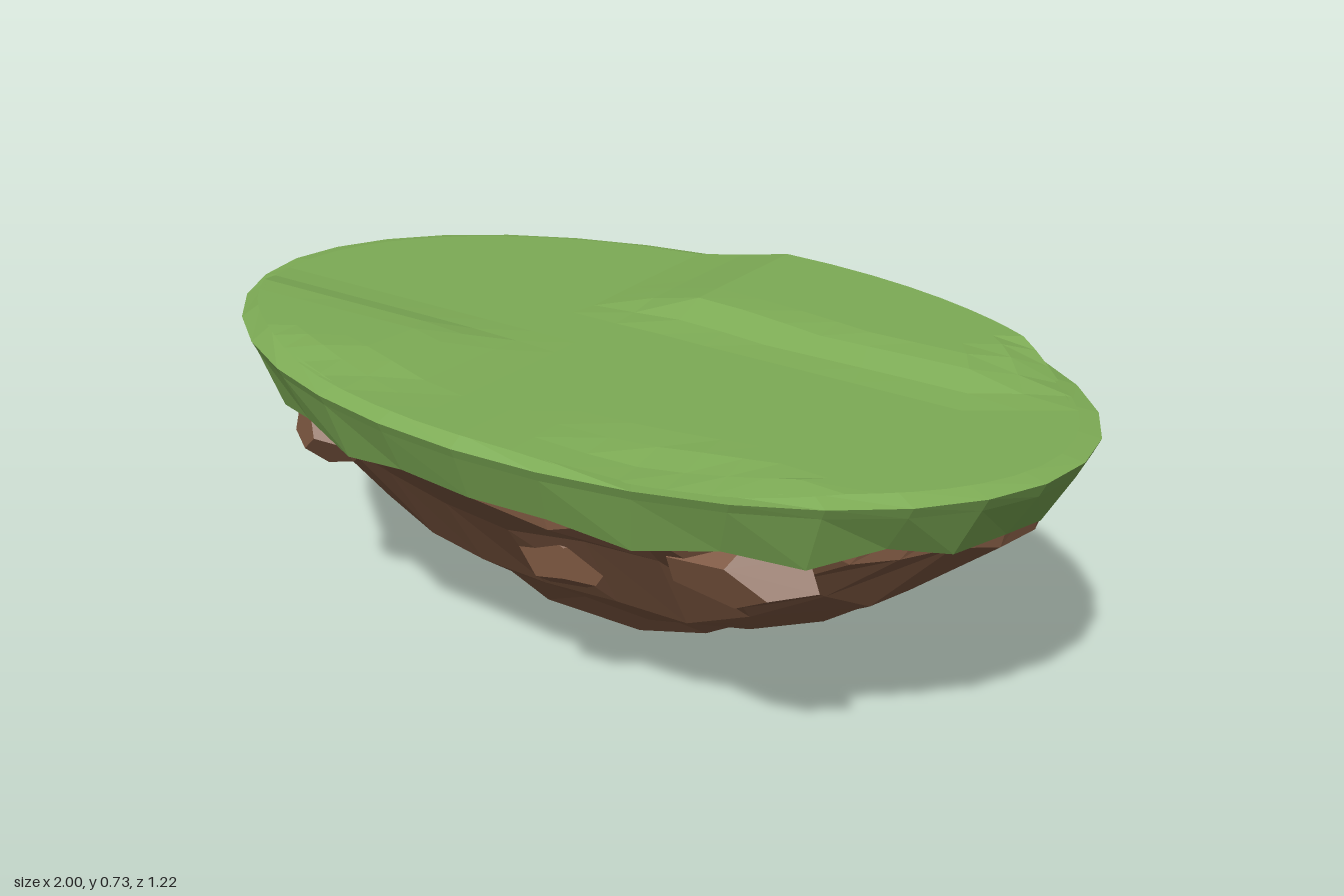
import * as THREE from 'three';

const DEPTH = 0.61; // z radius of the island; x radius is 1
const grass = new THREE.MeshStandardMaterial({ color: 0x7dab55, flatShading: true });
const rock = new THREE.MeshStandardMaterial({ color: 0x7f5942, flatShading: true });

const clamp = (t) => Math.min(1, Math.max(0, t));

// repeatable noise in -1..1
function noise(i, j, k = 0) {
  const s = Math.sin(i * 127.1 + j * 311.7 + k * 74.7) * 43758.5453;
  return 2 * (s - Math.floor(s)) - 1;
}

function faceted(points, index) {
  const g = new THREE.BufferGeometry();
  g.setAttribute('position', new THREE.Float32BufferAttribute(points.flat(), 3));
  g.setIndex(index);
  const flat = g.toNonIndexed();
  flat.computeVertexNormals();
  return flat;
}

// square grid of quads, rounded to a disc towards its edge;
// place(radius, angle, i, j) gives each corner
function discGrid(n, up, place) {
  const points = [], index = [];
  for (let row = 0; row <= n; row++) {
    for (let col = 0; col <= n; col++) {
      const i = col - n / 2, j = row - n / 2;
      const ring = (2 * Math.max(Math.abs(i), Math.abs(j))) / n;
      const radius = THREE.MathUtils.lerp((2 * Math.hypot(i, j)) / n, ring, ring);
      points.push(place(radius, Math.atan2(j, i), i, j));
      if (col < n && row < n) {
        const p = row * (n + 1) + col, q = p + n + 1;
        if (up) index.push(p, q, p + 1, p + 1, q, q + 1);
        else index.push(p, p + 1, q, p + 1, q + 1, q);
      }
    }
  }
  return faceted(points, index);
}

// closed rings joined from first to last; place(row, k, angle) gives each corner
function loft(rows, segments, place) {
  const points = [], index = [];
  for (let row = 0; row < rows; row++) {
    for (let k = 0; k < segments; k++) {
      points.push(place(row, k, (k / segments) * Math.PI * 2));
      if (row < rows - 1) {
        const p = row * segments + k, q = row * segments + ((k + 1) % segments);
        index.push(p, q, p + segments, q, q + segments, p + segments);
      }
    }
  }
  return faceted(points, index);
}

// turf height: flat with two low terraces and a slight dip at the front
function turfY(x, z) {
  const back = 0.04 * clamp((-z - 0.12) / 0.1) * clamp((x + 0.2) / 0.2) * clamp((0.8 - x) / 0.12);
  const front = 0.022 * clamp((z - 0.12) / 0.09) * clamp((-0.2 - x) / 0.18) * clamp((0.5 - z) / 0.08);
  const dip = 0.02 * clamp((z - 0.38) / 0.1) * clamp((x - 0.1) / 0.25);
  return 0.685 + back + front - dip;
}

// rock height against distance from the centre, steeper on the front flank
const profile = [[0, 0], [0.2, 0.13], [0.4, 0.185], [0.6, 0.28], [0.8, 0.41], [0.92, 0.54]];
function rockY(r, z) {
  const k = Math.max(1, profile.findIndex(([edge]) => r <= edge));
  const [r0, y0] = profile[k - 1], [r1, y1] = profile[k];
  const flank = 0.07 * clamp((z - 0.33) / 0.1) * clamp((0.55 - z) / 0.08);
  return THREE.MathUtils.mapLinear(r, r0, r1, y0, y1) + flank;
}

export function createModel() {
  const island = new THREE.Group();
  island.name = 'floatingIsland';
  const add = (name, geometry, material) => {
    const mesh = new THREE.Mesh(geometry, material);
    mesh.name = name;
    island.add(mesh);
  };

  // turf surface
  add('grassTop', discGrid(16, true, (radius, a) => {
    const r = 0.955 * radius;
    const x = r * Math.cos(a), z = r * DEPTH * Math.sin(a);
    return [x, turfY(x, z), z];
  }), grass);

  // turf rim, and skirt with a ragged lower edge that folds under
  const skirtRadius = [0.945, 1, 0.985, 0.925, 0.84];
  add('grassSkirt', loft(5, 32, (row, k, a) => {
    const r = skirtRadius[row];
    const x = r * Math.cos(a), z = r * DEPTH * Math.sin(a);
    const ragged = 0.547 + [-0.012, 0.012][k % 2] + 0.016 * noise(k, 5);
    const y = [turfY(x, z), 0.678 - 0.012 * clamp(z / 0.5), 0.645, ragged, 0.59][row];
    return [x, y, z];
  }), grass);

  // tapering rock underside, its outer row tucked up inside the skirt
  const teeth = { '-1,1': 0.07, '1,0': 0.05, '0,1': 0.14, '-1,0': 0.12 };
  add('rockUnderside', discGrid(12, false, (radius, a, i, j) => {
    const hidden = Math.max(Math.abs(i), Math.abs(j)) === 6;
    const loose = hidden || radius === 0 ? 0 : 1;
    const r = hidden ? 0.925 : Math.min(0.915, radius * 1.1 + 0.01 * loose * noise(i, j, 2));
    const x = r * Math.cos(a), z = r * DEPTH * Math.sin(a);
    const y = hidden ? 0.61 : rockY(r, z) + 0.02 * loose * noise(i, j, 1);
    return [x, teeth[`${i},${j}`] ?? y, z];
  }), rock);

  // blunt outcrops on the front flank: position and half sizes
  const outcrops = [
    [[0.08, 0.385, 0.36], [0.11, 0.09, 0.075]],
    [[0.48, 0.475, 0.36], [0.19, 0.085, 0.09]],
    [[-0.57, 0.465, 0.335], [0.1, 0.07, 0.07]],
  ];
  outcrops.forEach(([at, size], n) => {
    const stone = new THREE.DodecahedronGeometry(1.05).rotateZ(n * 0.7).rotateY(0.4);
    add(`outcrop${n + 1}`, stone.scale(...size).translate(...at), rock);
  });

  return island;
}
